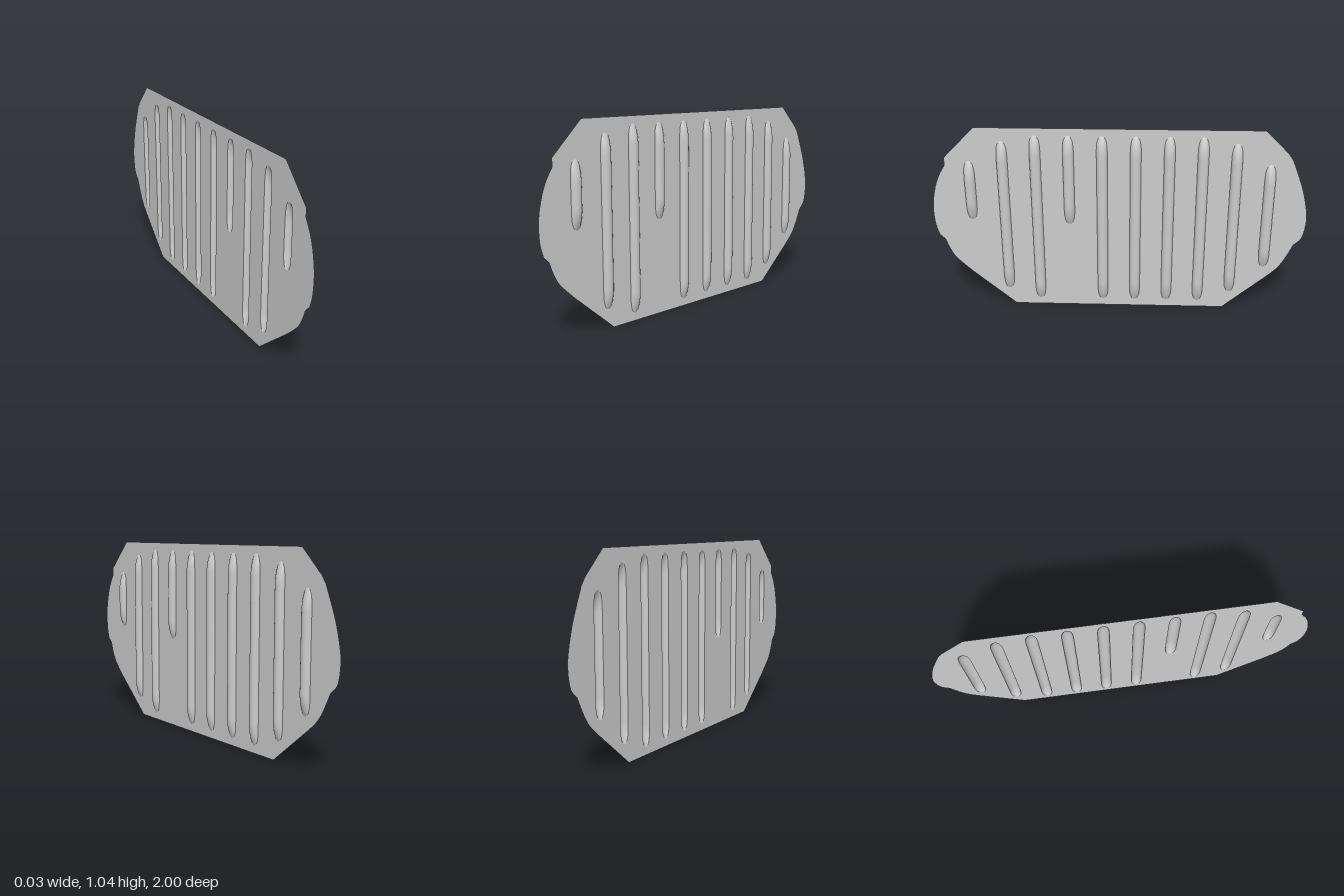
import * as THREE from 'three';

const DEPTH = 0.026;   // how far a rib is pressed out of the sheet
const RADIUS = 0.029;  // rounding of a rib's cross-section
const RUNOUT = 0.11;   // length over which a rib fades into the sheet
const CAP = 12, ACROSS = 14;

// Ribs: [z, bottom, top]
const RIBS = [
  [0.79, 0.52, 0.853], [0.612, 0.10, 0.965], [0.438, 0.04, 0.998], [0.264, 0.50, 0.998],
  [0.088, 0.04, 0.998], [-0.088, 0.04, 0.998], [-0.264, 0.04, 0.998], [-0.438, 0.04, 0.998],
  [-0.612, 0.10, 0.965], [-0.79, 0.26, 0.853],
];

// Cross-sections along a rib: height y, rise h and half width w
function ribSections(bottom, top) {
  const sections = [];
  const add = (y, s) => {
    const h = DEPTH * (1 - (1 - s) ** 2);
    sections.push({ y, h, w: Math.sqrt(Math.max(0, RADIUS ** 2 - (RADIUS - h) ** 2)) });
  };
  for (let k = 0; k <= CAP; k++) add(bottom + RUNOUT * (k / CAP) ** 2, (k / CAP) ** 2);
  for (let k = CAP; k >= 0; k--) add(top - RUNOUT * (k / CAP) ** 2, (k / CAP) ** 2);
  return sections;
}

// Hollow rib shell: circular arcs lofted along the sections
function ribGeometry(sections, cx) {
  const positions = [], index = [];
  sections.forEach(({ y, h, w }, i) => {
    const half = Math.atan2(w, RADIUS - h);
    for (let j = 0; j <= ACROSS; j++) {
      const a = half * (2 * j / ACROSS - 1);
      positions.push(cx + RADIUS * Math.sin(a), y, h - RADIUS + RADIUS * Math.cos(a));
      if (i > 0 && j > 0) {
        const d = i * (ACROSS + 1) + j, c = d - 1, b = d - ACROSS - 1, e = b - 1;
        index.push(e, b, d, e, d, c);
      }
    }
  });
  const g = new THREE.BufferGeometry();
  g.setAttribute('position', new THREE.Float32BufferAttribute(positions, 3));
  g.setIndex(index);
  g.computeVertexNormals();
  return g;
}

// Outline of the sheet, drawn with the across axis along -z
function sheetShape() {
  const s = new THREE.Shape();
  s.moveTo(-0.58, 0);
  s.lineTo(0.58, 0);
  s.lineTo(0.82, 0.205);
  s.splineThru([[0.87, 0.255], [0.905, 0.31], [0.945, 0.395]].map(p => new THREE.Vector2(...p)));
  s.splineThru([[0.985, 0.44], [1, 0.53], [0.992, 0.61], [0.96, 0.73], [0.9, 0.88]].map(p => new THREE.Vector2(...p)));
  s.lineTo(0.875, 0.915);
  s.lineTo(0.75, 1.037);
  s.lineTo(-0.75, 1.037);
  s.lineTo(-0.918, 0.87);
  s.lineTo(-0.918, 0.828);
  s.splineThru([[-0.955, 0.765], [-0.982, 0.69], [-1, 0.59], [-0.997, 0.49], [-0.98, 0.425]].map(p => new THREE.Vector2(...p)));
  s.lineTo(-0.95, 0.395);
  s.splineThru([[-0.935, 0.35], [-0.9, 0.285], [-0.82, 0.205]].map(p => new THREE.Vector2(...p)));
  s.closePath();
  return s;
}

export function createModel() {
  const material = new THREE.MeshStandardMaterial({ color: 0xcccccc, side: THREE.DoubleSide });
  const panel = new THREE.Group();
  panel.name = 'ribbedPanel';
  const shape = sheetShape();

  RIBS.forEach(([z, bottom, top], i) => {
    const sections = ribSections(bottom, top);
    // Opening in the sheet under the rib, so its back is a groove
    const left = sections.map(({ y, w }) => new THREE.Vector2(-z - w, y));
    const right = sections.slice(1, -1).reverse().map(({ y, w }) => new THREE.Vector2(-z + w, y));
    shape.holes.push(new THREE.Path([...left, ...right]));
    const rib = new THREE.Mesh(ribGeometry(sections, -z), material);
    rib.name = `rib${i + 1}`;
    panel.add(rib);
  });

  const sheet = new THREE.Mesh(new THREE.ShapeGeometry(shape, 6), material);
  sheet.name = 'sheet';
  panel.add(sheet);

  // Turn the panel so the ribs stand out towards +x
  panel.rotation.y = Math.PI / 2;
  panel.position.x = -DEPTH / 2;
  const model = new THREE.Group();
  model.name = 'embossedPlate';
  model.add(panel);
  return model;
}
